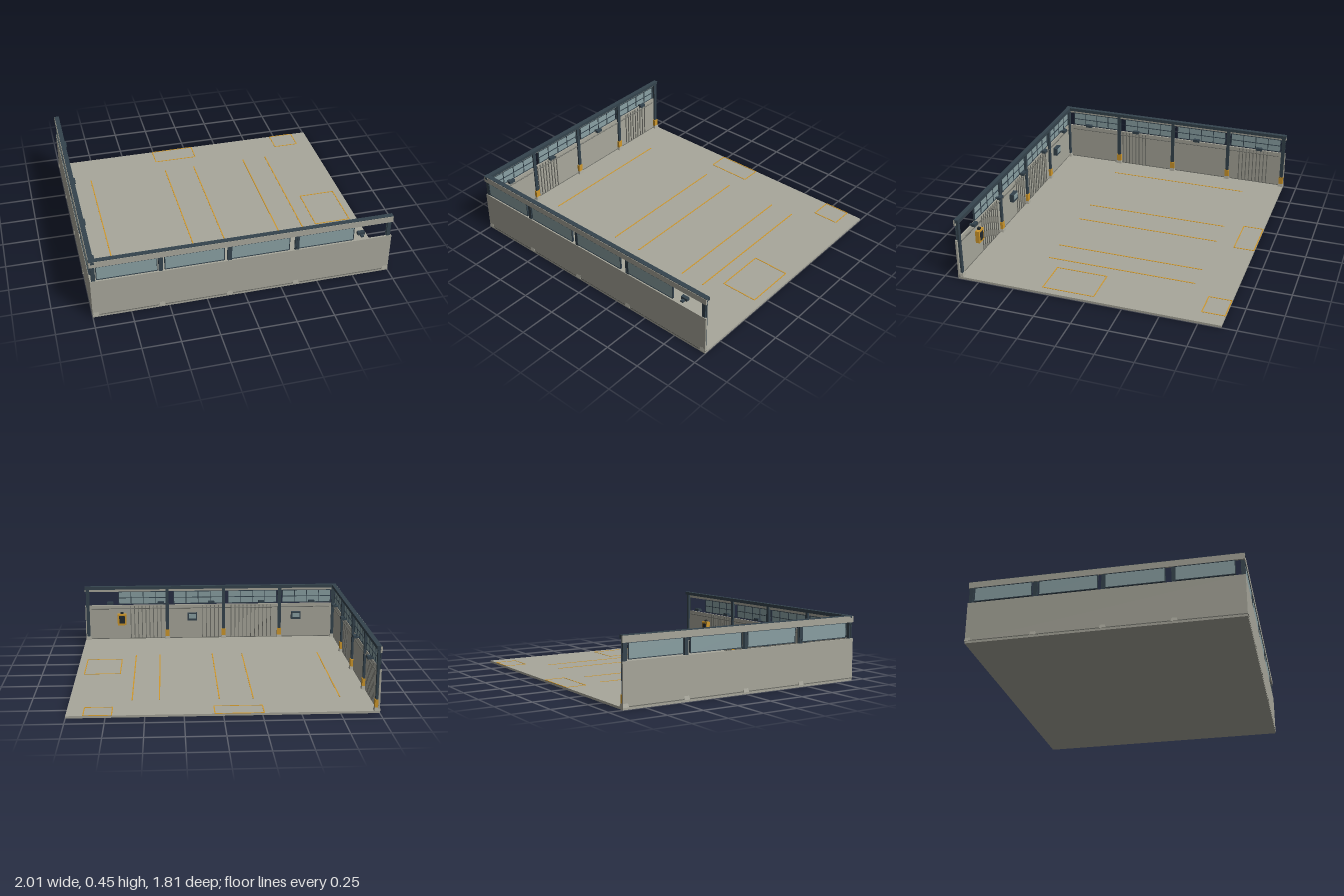
import * as THREE from 'three';

const mat = (name, color) => Object.assign(new THREE.MeshStandardMaterial({ color }), { name });

export function createModel() {
  const concrete = mat('concrete', 0xa8a79b);
  const steel = mat('dark steel', 0x34434d);
  const glass = mat('window glass', 0x8aa0a3);
  const yellow = mat('safety yellow', 0xd0982b);
  const rib = mat('rib grey', 0x6f7069);
  const black = mat('screen black', 0x22292e);

  const root = new THREE.Group();
  root.name = 'workshopBay';

  // Box given by its centre and size
  function box(parent, name, material, x, y, z, w, h, d) {
    const m = new THREE.Mesh(new THREE.BoxGeometry(w, h, d), material);
    m.name = name;
    m.position.set(x, y, z);
    parent.add(m);
    return m;
  }

  // I-section column with flared foot and painted guard
  function column(parent, x, guarded) {
    const g = new THREE.Group();
    g.name = 'column';
    g.position.set(x, 0, -0.016);
    for (const s of [-1, 1]) box(g, 'columnFlange', steel, 0, 0.225, s * 0.009, 0.026, 0.42, 0.005);
    box(g, 'columnWeb', steel, 0, 0.225, 0, 0.016, 0.42, 0.016);
    const foot = new THREE.Mesh(new THREE.CylinderGeometry(0.023, 0.03, 0.024, 4, 1).rotateY(Math.PI / 4), concrete);
    foot.name = 'columnFoot';
    foot.position.y = 0.026;
    foot.material.flatShading = false;
    foot.geometry = foot.geometry.toNonIndexed();
    foot.geometry.computeVertexNormals();
    g.add(foot);
    if (guarded) box(g, 'columnGuard', yellow, 0, 0.063, -0.001, 0.033, 0.054, 0.03);
    parent.add(g);
  }

  // Framed window: glass outside, glazing bars inside
  function windowUnit(parent, x) {
    const w = 0.385, y = 0.35, h = 0.098;
    const g = new THREE.Group();
    g.name = 'window';
    g.position.set(x, y, -0.008);
    box(g, 'windowGlass', glass, 0, 0, 0, w, h, 0.006);
    for (const s of [-1, 1]) {
      box(g, 'windowSideFrame', steel, s * w / 2, 0, 0, 0.005, h, 0.012);
      box(g, 'windowRail', steel, 0, s * h / 2, 0, w, 0.005, 0.012);
    }
    for (let i = 1; i < 4; i++) box(g, 'glazingBar', steel, -w / 2 + i * w / 4, 0, -0.005, 0.005, h, 0.004);
    box(g, 'crossBar', steel, 0, 0, -0.005, w, 0.005, 0.004);
    parent.add(g);
  }

  // Wall along local x: outer face at z = 0, inside towards -z
  function wall(name, o) {
    const g = new THREE.Group();
    g.name = name;
    const L = o.length;
    box(g, 'wallPanel', concrete, 0, 0.15, -0.006, L, 0.28, 0.012);
    box(g, 'header', concrete, 0, 0.421, -0.006, L, 0.042, 0.012);
    box(g, 'topBeam', steel, 0, 0.433, -0.022, L, 0.022, 0.024);
    box(g, 'topCap', steel, 0, 0.4435, -0.019, L, 0.004, 0.032);
    box(g, 'baseTrim', rib, 0, 0.0175, -0.0065, L, 0.006, 0.0145);
    o.windows.forEach(x => windowUnit(g, x));
    o.columns.forEach(x => column(g, x, Math.abs(x) < 0.95));
    // Wall lamps
    for (const x of o.lamps) {
      box(g, 'lampBody', steel, x, 0.315, -0.045, 0.048, 0.02, 0.025);
      box(g, 'lampBracket', steel, x, 0.308, -0.025, 0.02, 0.01, 0.03);
    }
    // Vertical cladding ribs
    for (const [a, b, n] of o.ribs)
      for (let i = 0; i < n; i++)
        box(g, 'claddingRib', rib, a + (b - a) * i / (n - 1), 0.152, -0.014, 0.006, 0.265, 0.006);
    // Service pipe
    const pipe = new THREE.Mesh(new THREE.CylinderGeometry(0.004, 0.004, L - 0.1, 8).rotateZ(Math.PI / 2), rib);
    pipe.name = 'servicePipe';
    pipe.position.set(0, 0.265, -0.022);
    g.add(pipe);
    root.add(g);
    return g;
  }

  box(root, 'floorSlab', concrete, 0, 0.0075, 0, 2, 0.015, 1.8);

  const front = wall('frontWall', {
    length: 2,
    windows: [-0.765, -0.33, 0.103, 0.54],
    columns: [-0.978, -0.548, -0.1, 0.35, 0.978],
    lamps: [-0.8, -0.4, 0, 0.4, 0.8],
    ribs: [[0.4, 0.64, 9], [-0.06, 0.07, 5], [-0.48, -0.16, 11]],
  });
  front.position.z = 0.9;

  const side = wall('sideWall', {
    length: 1.8,
    windows: [0.645, 0.205, -0.23, -0.665],
    columns: [0.45, 0, -0.45, -0.882],
    lamps: [0.7, 0.3, -0.2, -0.7],
    ribs: [[0.23, 0.42, 8], [-0.76, -0.54, 9]],
  });
  side.rotation.y = -Math.PI / 2;
  side.position.x = -1;
  box(root, 'beamEnd', steel, -0.978, 0.433, 0.892, 0.024, 0.015, 0.02);

  // Control panels and emergency cabinet on the inside of the front wall
  for (const x of [-0.68, 0.15]) {
    box(front, 'controlPanel', steel, x, 0.195, -0.027, 0.075, 0.06, 0.03);
    box(front, 'controlScreen', glass, x, 0.2, -0.0435, 0.055, 0.035, 0.003);
  }
  box(front, 'emergencyCabinet', yellow, 0.71, 0.178, -0.027, 0.07, 0.09, 0.03);
  box(front, 'cabinetDoor', black, 0.71, 0.178, -0.043, 0.044, 0.06, 0.003);
  box(front, 'cabinetLamp', black, 0.71, 0.23, -0.025, 0.02, 0.014, 0.02);

  // Painted floor lines
  const paint = (x, z, w, d) => box(root, 'floorLine', yellow, x, 0.0155, z, w, 0.003, d);
  for (const x of [-0.79, -0.213, 0.012, 0.408, 0.588]) paint(x, -0.1, 0.008, 1.04);
  for (const [x0, x1, z0, z1] of [[0.69, 0.945, -0.04, 0.315], [0.71, 0.89, -0.897, -0.745], [-0.26, 0.055, -0.897, -0.755]]) {
    for (const x of [x0, x1]) paint(x, (z0 + z1) / 2, 0.007, z1 - z0);
    for (const z of [z0, z1]) paint((x0 + x1) / 2, z, x1 - x0, 0.007);
  }
  return root;
}
